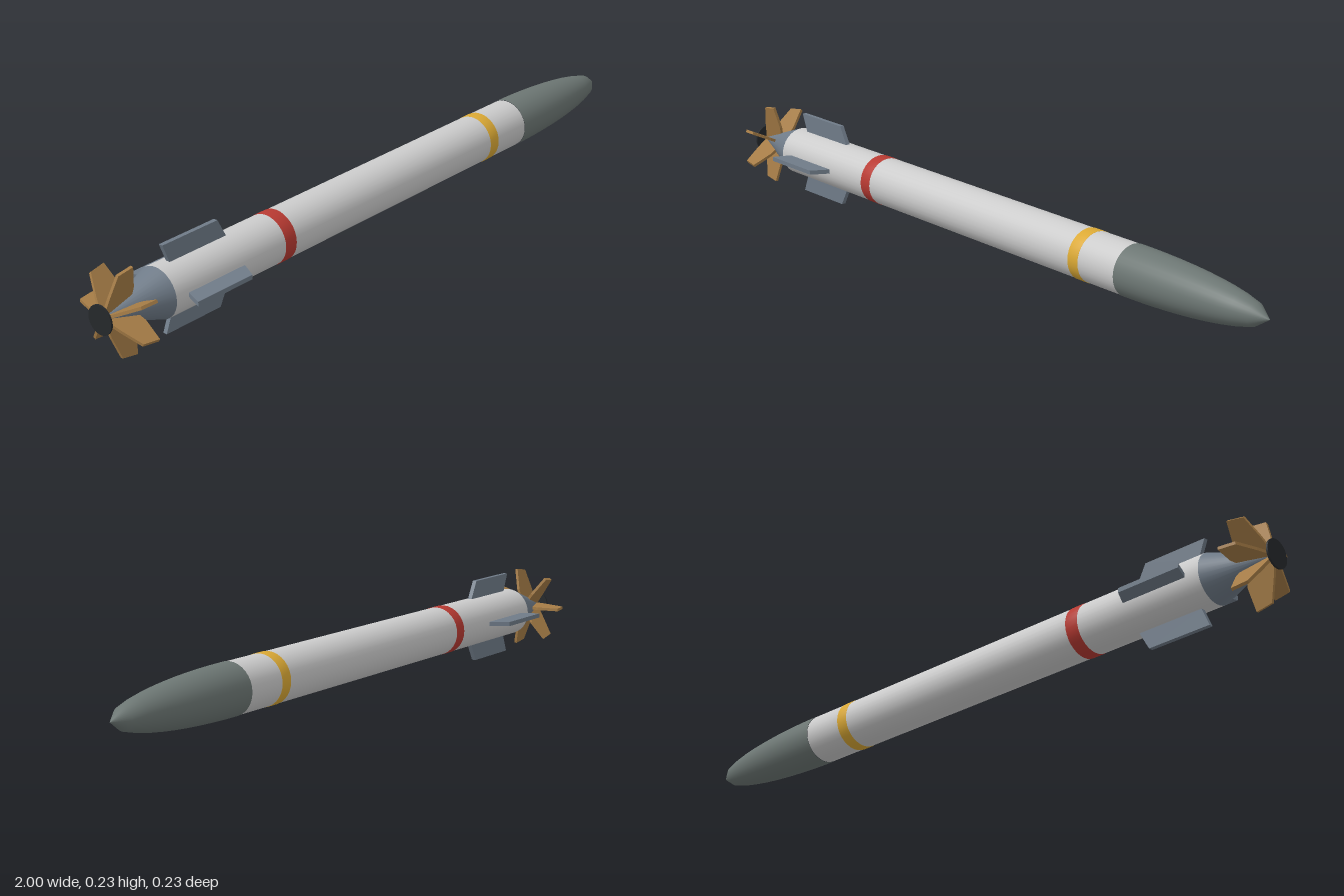
import * as THREE from 'three';

const AXIS_Y = 0.1165; // height of the long axis
const R = 0.067;       // hull radius
const SIDES = 32;

const paint = (color) => new THREE.MeshStandardMaterial({ color });

// Solid of revolution around the x axis; points are [x, radius] from tail to nose
function turned(name, points, material) {
  const geometry = new THREE.LatheGeometry(points.map(([x, r]) => new THREE.Vector2(r, x)), SIDES);
  geometry.rotateZ(-Math.PI / 2);
  const mesh = new THREE.Mesh(geometry, material);
  mesh.name = name;
  return mesh;
}

// Ring of flat plates; outline is [x, radius], each plate lies in a plane through the axis
function plateRing(name, count, startAngle, outline, thickness, material) {
  const shape = new THREE.Shape(outline.map(([x, r]) => new THREE.Vector2(x, r)));
  const geometry = new THREE.ExtrudeGeometry(shape, { depth: thickness, bevelEnabled: false });
  geometry.translate(0, 0, -thickness / 2);
  const ring = new THREE.Group();
  ring.name = name + 's';
  for (let i = 0; i < count; i++) {
    const plate = new THREE.Mesh(geometry, material);
    plate.name = name;
    plate.rotation.x = startAngle + (i * 2 * Math.PI) / count;
    ring.add(plate);
  }
  return ring;
}

export function createModel() {
  const model = new THREE.Group();
  model.name = 'torpedo';
  const steel = paint(0x6f7b88);

  const assembly = new THREE.Group();
  assembly.name = 'assembly';
  assembly.position.y = AXIS_Y;
  model.add(assembly);

  // Hull
  assembly.add(turned('hull', [[-0.82, R], [0.56, R]], paint(0xd3d6d3)));

  // Elliptical nose with a small pointed tip
  const nose = [];
  for (let i = 0; i <= 10; i++) {
    const t = i / 10;
    nose.push([0.56 + 0.44 * t, (R + 0.001) * Math.sqrt(1 - t * t)]);
  }
  assembly.add(turned('nose', nose, paint(0x6c7673)));

  // Coloured bands
  const band = (name, x0, x1, color) =>
    turned(name, [[x0, R - 0.002], [x0, R + 0.001], [x1, R + 0.001], [x1, R - 0.002]], paint(color));
  assembly.add(band('rearBand', -0.443, -0.405, 0xb83a32));
  assembly.add(band('frontBand', 0.4, 0.435, 0xdba935));

  // Tapered tail
  assembly.add(turned('tailCone', [[-0.998, 0.004], [-0.82, R]], steel));

  // Four swept stabilising fins
  assembly.add(plateRing('fin', 4, 0,
    [[-0.775, 0.05], [-0.585, 0.05], [-0.59, R], [-0.617, AXIS_Y], [-0.8, AXIS_Y], [-0.78, R]],
    0.012, steel));

  // Seven propeller blades
  assembly.add(plateRing('propellerBlade', 7, -Math.PI / 2,
    [[-0.993, 0.003], [-0.91, 0.02], [-0.905, 0.055], [-0.916, 0.116], [-0.961, 0.109], [-0.98, 0.052]],
    0.008, paint(0xa57c46)));

  // Dark end disc
  const disc = new THREE.Mesh(new THREE.CylinderGeometry(0.038, 0.038, 0.005, SIDES), paint(0x25282b));
  disc.name = 'endDisc';
  disc.rotation.z = Math.PI / 2;
  disc.position.x = -0.9975;
  assembly.add(disc);

  return model;
}
